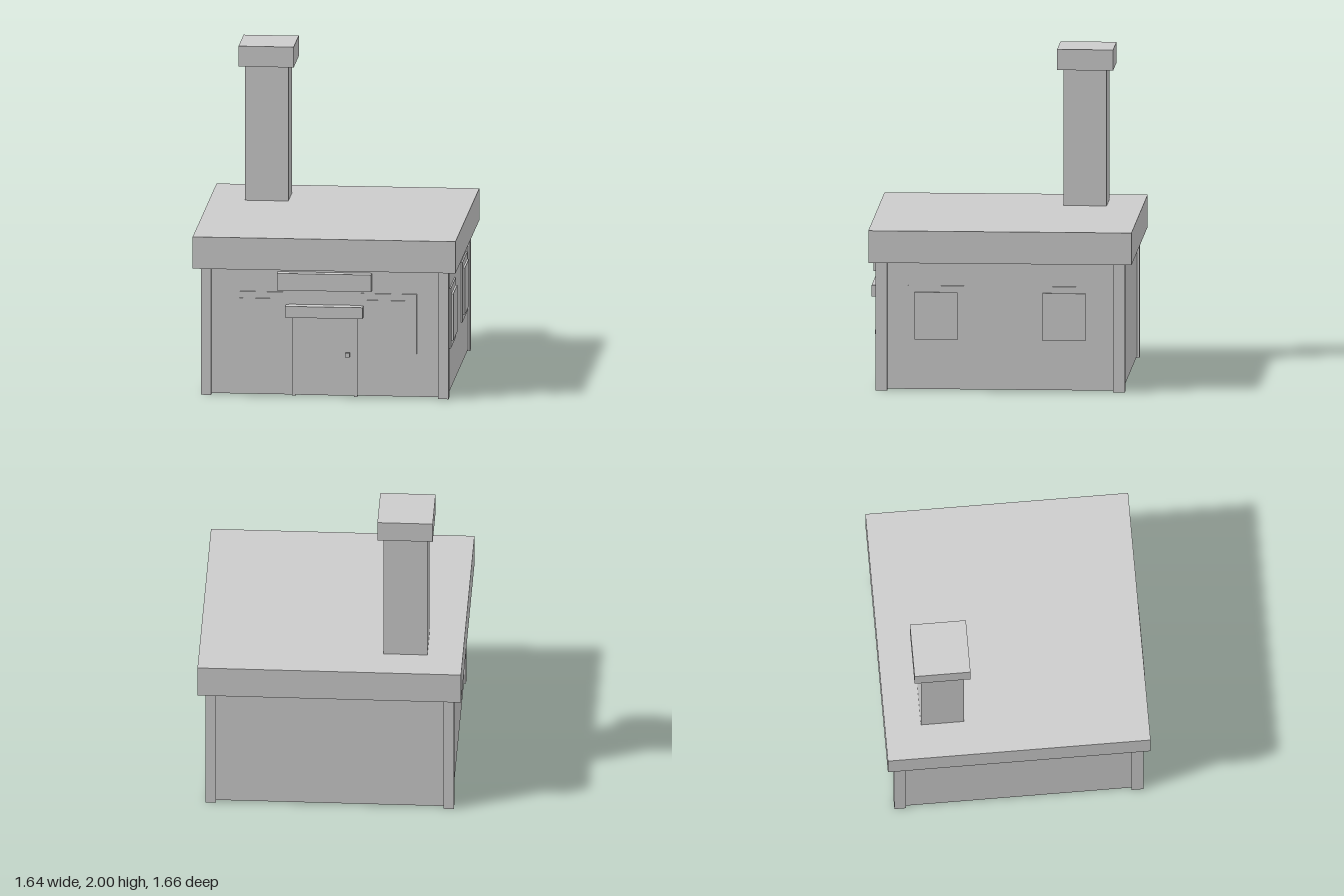
import * as THREE from 'three';

export function createModel() {
  const house = new THREE.Group();
  house.name = 'house';
  const material = new THREE.MeshStandardMaterial({ color: 0xcccccc, flatShading: true });

  // Box given by its extents on each axis
  function block(name, [x0, x1], [y0, y1], [z0, z1], parent = house) {
    const mesh = new THREE.Mesh(new THREE.BoxGeometry(x1 - x0, y1 - y0, z1 - z0), material);
    mesh.position.set((x0 + x1) / 2, (y0 + y1) / 2, (z0 + z1) / 2);
    mesh.name = name;
    parent.add(mesh);
    return mesh;
  }

  // Main body, floor and flat roof
  block('walls', [-0.762, 0.762], [0.01, 0.82], [-0.767, 0.76]);
  block('floor', [-0.73, 0.73], [0.006, 0.03], [-0.735, 0.728]);
  block('roof', [-0.822, 0.822], [0.81, 1.012], [-0.828, 0.815]);

  // Corner posts
  for (const x of [[-0.775, -0.71], [0.71, 0.775]]) {
    for (const z of [[-0.783, -0.71], [0.7, 0.773]]) block('cornerPost', x, [0, 0.81], z);
  }

  // Chimney
  block('chimneyStack', [-0.6, -0.328], [1.0, 1.88], [-0.602, -0.334]);
  block('chimneyCap', [-0.636, -0.291], [1.87, 2], [-0.645, -0.295]);

  // Window facing +z in its own frame: thin surround with a raised pane
  function makeWindow(x, z, turn, paneDepth) {
    const group = new THREE.Group();
    group.name = 'window';
    block('windowSurround', [-0.175, 0.175], [-0.19, 0.19], [-0.02, 0.009], group);
    block('windowPane', [-0.134, 0.134], [-0.149, 0.149], [-0.02, paneDepth], group);
    group.position.set(x, 0.472, z);
    group.rotation.y = turn;
    house.add(group);
  }
  for (const side of [-1, 1]) {
    makeWindow(side * 0.4, 0.76, 0, 0.017);
    makeWindow(0.762, side * 0.4 - 0.005, Math.PI / 2, 0.021);
  }

  // Entrance
  block('door', [-0.182, 0.182], [0.01, 0.52], [0.74, 0.766]);
  for (const side of [-1, 1]) {
    const x = side * 0.193;
    block('doorJamb', [x - 0.011, x + 0.011], [0.005, 0.515], [0.74, 0.773]);
  }
  block('doorLintel', [-0.242, 0.242], [0.512, 0.584], [0.75, 0.83]);
  block('doorKnob', [0.132, 0.159], [0.263, 0.289], [0.787, 0.814]);
  block('signBoard', [-0.295, 0.295], [0.682, 0.79], [0.75, 0.816]);

  return house;
}
